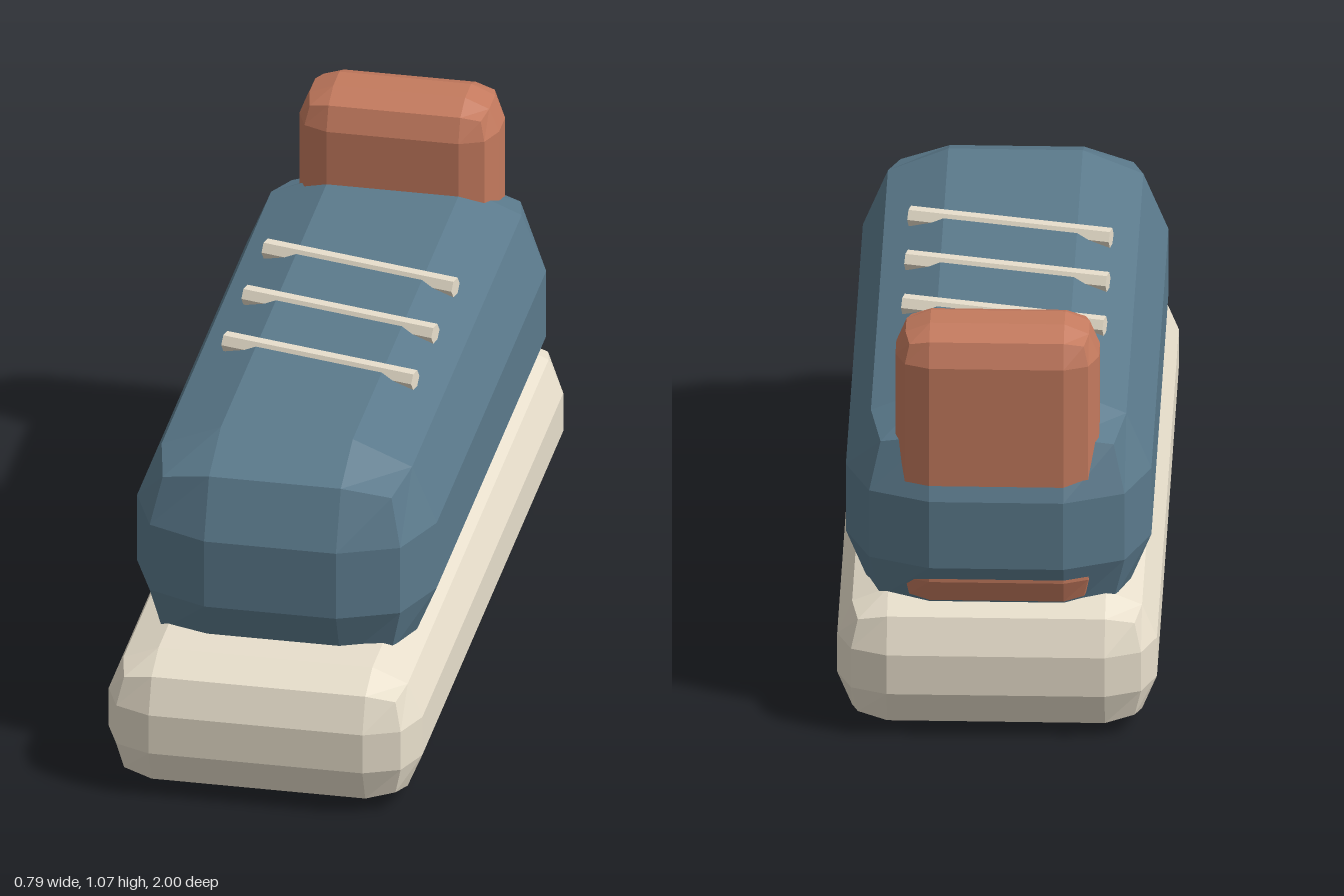
import * as THREE from 'three';
import { RoundedBoxGeometry } from 'three/addons/geometries/RoundedBoxGeometry.js';

const material = (color) => new THREE.MeshStandardMaterial({ color, flatShading: true });

// Low-poly rounded block, placed by its centre
function block(name, size, radius, center, mat) {
  const mesh = new THREE.Mesh(new RoundedBoxGeometry(...size, 1, radius), mat);
  mesh.name = name;
  mesh.position.set(...center);
  return mesh;
}

export function createModel() {
  const cream = material(0xe8dfcc);
  const blue = material(0x5b7a8c);
  const rust = material(0xc47a5e);

  const shoe = new THREE.Group();
  shoe.name = 'shoe';

  // Thick sole, bulging upper and heel tab
  shoe.add(
    block('sole', [0.785, 0.355, 2], 0.125, [0, 0.1775, 0], cream),
    block('upper', [0.75, 0.6, 1.78], 0.21, [0, 0.54, -0.07], blue),
    block('heelTab', [0.5, 0.75, 0.245], 0.085, [0, 0.695, -0.8225], rust)
  );

  // Three slanted laces, half sunk into the top of the upper
  const laceGeometry = new THREE.CylinderGeometry(0.025, 0.025, 0.51, 6);
  laceGeometry.rotateZ(Math.PI / 2);
  for (let i = 0; i < 3; i++) {
    const lace = new THREE.Mesh(laceGeometry, cream);
    lace.name = `lace${i + 1}`;
    lace.position.set(0, 0.828, 0.195 - i * 0.25);
    lace.rotation.y = -0.22;
    shoe.add(lace);
  }
  return shoe;
}
